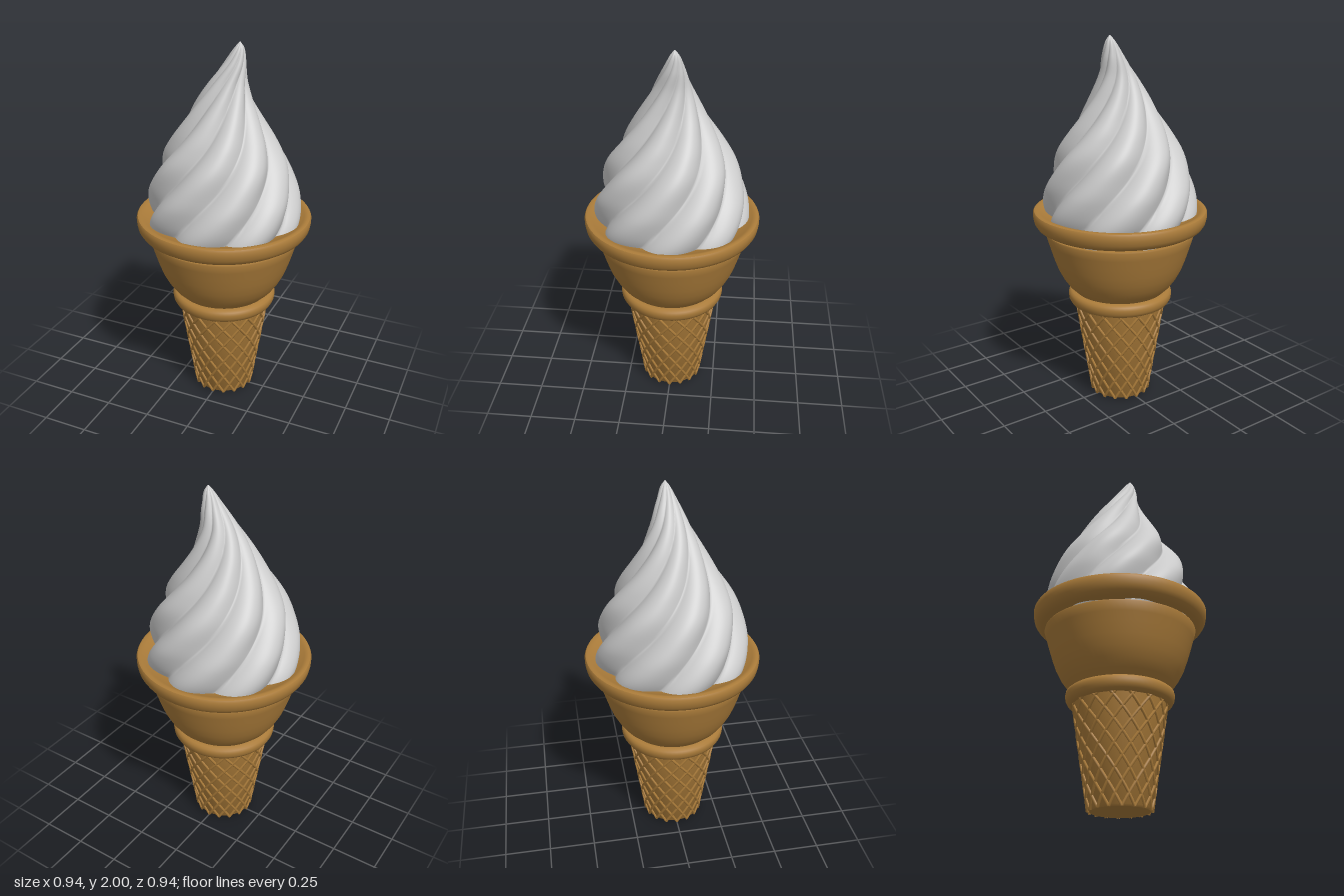
import * as THREE from 'three';
import { toCreasedNormals } from 'three/addons/utils/BufferGeometryUtils.js';

const wafer = new THREE.MeshStandardMaterial({ color: 0xab7c3a });
const cream = new THREE.MeshStandardMaterial({ color: 0xcccccc });

// Turned wafer part from [radius, height] pairs, listed so that faces point outwards
function turned(name, pairs) {
  const points = pairs.map(([r, y]) => new THREE.Vector2(r, y));
  const mesh = new THREE.Mesh(toCreasedNormals(new THREE.LatheGeometry(points, 72), 0.7), wafer);
  mesh.name = name;
  return mesh;
}

// Twisted eight-lobed swirl: rings of vertices whose radius is scalloped
function swirlGeometry() {
  // x = radius of the lobes, y = height, z = sideways lean of the ring
  const profile = new THREE.CatmullRomCurve3([
    [0.385, 0.95, 0], [0.415, 1.08, 0], [0.405, 1.2, 0], [0.375, 1.3, 0], [0.335, 1.4, 0],
    [0.275, 1.5, 0], [0.21, 1.6, 0], [0.15, 1.7, 0.005], [0.098, 1.8, 0.022],
    [0.056, 1.9, 0.055], [0.025, 1.97, 0.073], [0.002, 2, 0.077],
  ].map((p) => new THREE.Vector3(...p)));
  const lobes = 8, cols = 192, rows = 90;
  const positions = [], index = [];
  for (let i = 0; i <= rows; i++) {
    const { x: radius, y, z: lean } = profile.getPoint(i / rows);
    const twist = (y - 1.08) * 2.55 + Math.max(0, y - 1.6) ** 2 * 3;
    const depth = 0.125 + 0.05 * Math.sin(Math.PI * Math.min(1, Math.max(0, (y - 1.1) / 0.9)));
    for (let j = 0; j < cols; j++) {
      const angle = (j / cols) * Math.PI * 2;
      const turn = ((angle + twist - 0.28) / (Math.PI * 2)) * lobes;
      const u = (turn - Math.floor(turn)) ** 1.25;
      const bulge = Math.sin(Math.PI * u) ** 0.85;
      const r = radius * (1 - depth * (1 - bulge));
      positions.push(lean + r * Math.cos(angle), y, -0.27 * lean + r * Math.sin(angle));
      if (i < rows) {
        const a = i * cols + j, b = i * cols + ((j + 1) % cols);
        index.push(a, a + cols, b, b, a + cols, b + cols);
      }
    }
  }
  // Flat underside
  const centre = positions.length / 3;
  positions.push(0, 0.95, 0);
  for (let j = 0; j < cols; j++) index.push(centre, j, (j + 1) % cols);
  const geometry = new THREE.BufferGeometry();
  geometry.setAttribute('position', new THREE.Float32BufferAttribute(positions, 3));
  geometry.setIndex(index);
  geometry.computeVertexNormals();
  return geometry;
}

// Raised diagonal strands winding both ways round the cone
function waffleLattice() {
  const group = new THREE.Group();
  group.name = 'waffleLattice';
  const count = 16, sweep = 1.85;
  for (const direction of [-1, 1]) {
    const points = [];
    for (let k = 0; k <= 12; k++) {
      const t = k / 12, r = 0.16 + 0.086 * t, angle = direction * sweep * t;
      points.push(new THREE.Vector3(r * Math.cos(angle), 0.008 + 0.555 * t, r * Math.sin(angle)));
    }
    const strand = new THREE.TubeGeometry(new THREE.CatmullRomCurve3(points), 32, 0.008, 6);
    for (let i = 0; i < count; i++) {
      const mesh = new THREE.Mesh(strand, wafer);
      mesh.name = 'waffleStrand';
      mesh.rotation.y = (i / count) * Math.PI * 2;
      group.add(mesh);
    }
  }
  return group;
}

export function createModel() {
  const model = new THREE.Group();
  model.name = 'iceCreamCone';

  // Tapered waffle foot
  model.add(turned('cone', [[0, 0.008], [0.15, 0.008], [0.16, 0.018], [0.246, 0.57], [0, 0.57]]));
  model.add(waffleLattice());

  // Rounded collar between foot and cup
  model.add(turned('collar', [
    [0, 0.55], [0.255, 0.55], [0.274, 0.56], [0.284, 0.578], [0.287, 0.6],
    [0.283, 0.617], [0.272, 0.626], [0.245, 0.628], [0, 0.628],
  ]));

  // Bowl-shaped cup with an open top
  model.add(turned('cup', [
    [0.225, 0.6], [0.25, 0.627], [0.285, 0.662], [0.316, 0.706], [0.342, 0.757], [0.362, 0.812],
    [0.38, 0.87], [0.394, 0.918], [0.408, 0.965], [0.406, 0.972], [0.38, 0.972], [0.345, 0.85],
    [0.29, 0.73], [0.2, 0.66], [0, 0.64],
  ]));

  // Wide lip that holds the swirl
  model.add(turned('rim', [
    [0.35, 0.99], [0.405, 0.985], [0.43, 0.99], [0.451, 1.004], [0.464, 1.025], [0.469, 1.05],
    [0.47, 1.075], [0.464, 1.086], [0.452, 1.09], [0.432, 1.085], [0.412, 1.07], [0.35, 1.055],
    [0.35, 0.99],
  ]));

  const swirl = new THREE.Mesh(swirlGeometry(), cream);
  swirl.name = 'swirl';
  model.add(swirl);
  return model;
}
